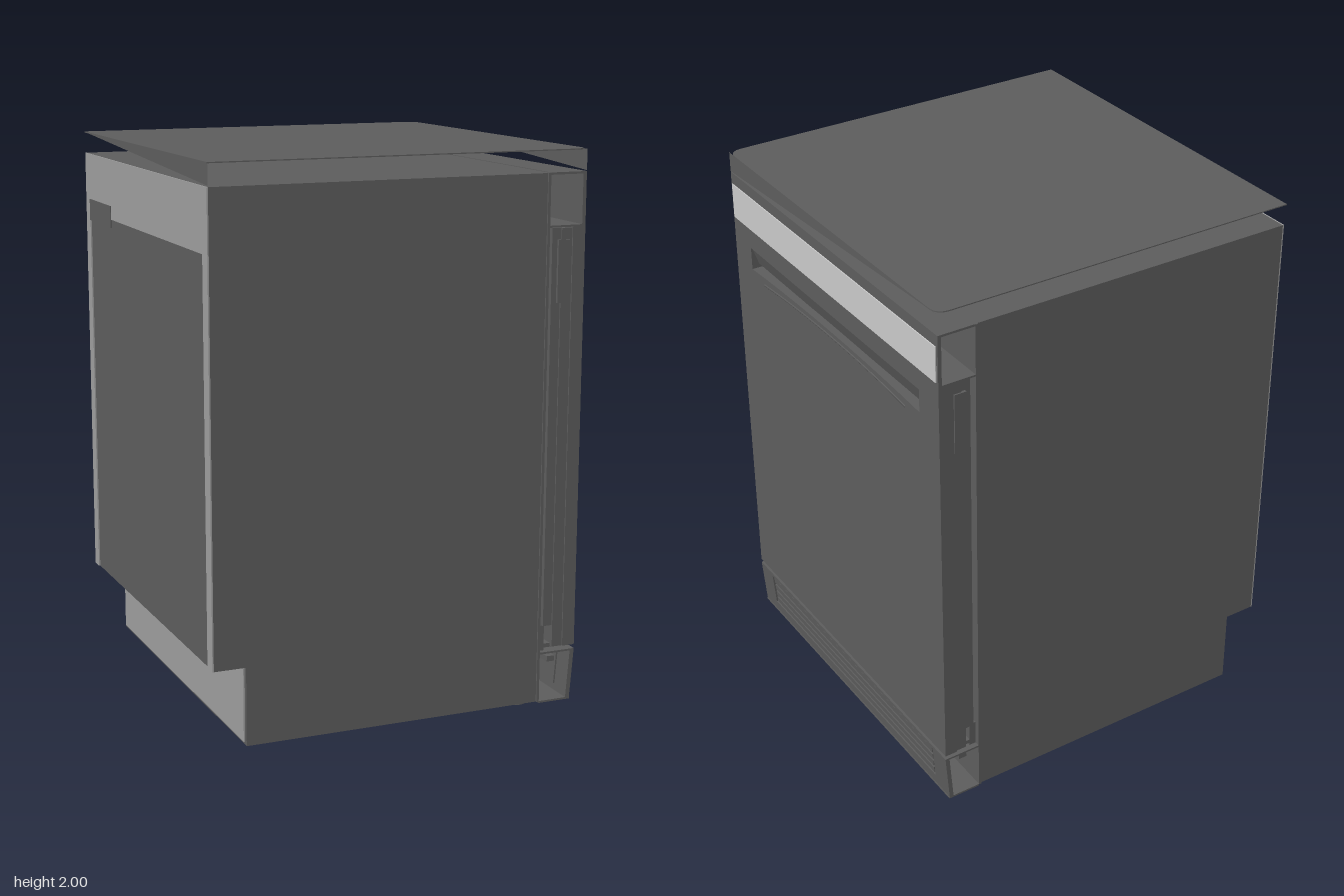
import * as THREE from 'three';

const mat = (name, color, side = THREE.FrontSide) => {
  const m = new THREE.MeshStandardMaterial({ color, side });
  m.name = name;
  return m;
};

export function createModel() {
  const group = new THREE.Group();
  group.name = 'dishwasher';
  const steel = mat('dark steel', 0x5c5c5c);
  const sheet = mat('dark steel sheet', 0x5c5c5c, THREE.DoubleSide);
  const panel = mat('light panel', 0xc8c8c8);
  const frame = mat('back frame grey', 0x9c9c9c);

  const add = (name, geometry, material = steel) => {
    const mesh = new THREE.Mesh(geometry, material);
    mesh.name = name;
    group.add(mesh);
    return mesh;
  };
  // Box given by its limits on each axis
  const box = (name, x0, x1, y0, y1, z0, z1, material) => {
    const m = add(name, new THREE.BoxGeometry(x1 - x0, y1 - y0, z1 - z0), material);
    m.position.set((x0 + x1) / 2, (y0 + y1) / 2, (z0 + z1) / 2);
    return m;
  };
  const poly = (pts) => new THREE.Shape(pts.map((p) => new THREE.Vector2(...p)));
  const rect = (w, y0, y1) => poly([[-w, y0], [w, y0], [w, y1], [-w, y1]]);
  // Extrude a (z, y) outline along +x, starting at x0
  const extrudeX = (shape, x0, depth) =>
    new THREE.ExtrudeGeometry(shape, { depth, bevelEnabled: false, curveSegments: 10 })
      .rotateY(Math.PI / 2).translate(x0, 0, 0);

  // Cabinet with toe recess at the back
  const cabinet = new THREE.ExtrudeGeometry(
    poly([[-0.57, 0.02], [0.54, 0.02], [0.54, 1.92], [-0.685, 1.92], [-0.685, 0.3], [-0.57, 0.3]]),
    { depth: 1.39, bevelEnabled: false }).translate(0, 0, -0.695);
  add('cabinet', cabinet);
  box('frontFlange', 0.54, 0.55, 0.02, 1.92, -0.7, 0.7);
  box('basePlate', -0.53, 0.52, 0.008, 0.02, -0.64, 0.64);

  // Back: pale frame around the dark rear cover
  box('backTopRail', -0.69, -0.685, 1.7, 1.92, -0.695, 0.695, frame);
  for (const s of [-1, 1]) {
    const z = s * 0.67;
    box('backSideRail', -0.69, -0.685, 0.3, 1.7, z - 0.025, z + 0.025, frame);
  }
  box('toeRecessPanel', -0.575, -0.57, 0.03, 0.3, -0.68, 0.68, frame);
  box('rearClip', -0.693, -0.688, 1.67, 1.75, -0.64, -0.37);

  // Worktop sheet, rounded at the two front corners
  const top = new THREE.Shape();
  top.moveTo(-0.69, -0.7);
  top.lineTo(0.64, -0.7);
  top.quadraticCurveTo(0.69, -0.7, 0.69, -0.65);
  top.lineTo(0.69, 0.65);
  top.quadraticCurveTo(0.69, 0.7, 0.64, 0.7);
  top.lineTo(-0.69, 0.7);
  add('worktop', new THREE.ExtrudeGeometry(top, { depth: 0.004, bevelEnabled: false, curveSegments: 8 })
    .rotateX(-Math.PI / 2).translate(0, 1.996, 0));
  // Tapering edge strips below the worktop
  for (const x of [-0.688, 0.688]) {
    const edge = new THREE.ShapeGeometry(poly([[-0.7, 1.925], [0.7, 1.998], [-0.7, 1.998]]));
    add('worktopEdge', edge.rotateY(Math.PI / 2).translate(x, 0, 0), sheet);
  }

  // Control fascia: open-ended shell with a pale inset
  box('fascia', 0.675, 0.688, 1.735, 1.92, -0.7, 0.7);
  box('fasciaTop', 0.55, 0.688, 1.914, 1.922, -0.7, 0.7);
  box('fasciaBottom', 0.55, 0.688, 1.733, 1.74, -0.7, 0.7);
  box('controlPanel', 0.688, 0.692, 1.75, 1.88, -0.69, 0.69, panel);

  // Door: inner slab, and a front skin with the handle pocket cut out
  box('doorInner', 0.565, 0.6, 0.3, 1.73, -0.69, 0.69);
  box('doorCore', 0.6, 0.64, 0.22, 1.73, -0.695, 0.695);
  const skin = rect(0.7, 0.22, 1.735);
  const pocket = new THREE.Path();
  pocket.moveTo(-0.58, 1.585);
  pocket.lineTo(-0.58, 1.67);
  pocket.lineTo(0.58, 1.67);
  pocket.lineTo(0.58, 1.585);
  pocket.quadraticCurveTo(0, 1.62, -0.58, 1.585);
  skin.holes.push(pocket);
  add('doorSkin', extrudeX(skin, 0.64, 0.048));

  // Sloped grip filling the upper part of the pocket
  const grip = new THREE.ExtrudeGeometry(
    poly([[0.64, 1.595], [0.66, 1.6], [0.684, 1.67], [0.64, 1.67]]),
    { depth: 1.16, bevelEnabled: false }).translate(0, 0, -0.58);
  add('handleGrip', grip);
  const lip = new THREE.QuadraticBezierCurve3(
    new THREE.Vector3(0.686, 1.56, -0.49), new THREE.Vector3(0.686, 1.605, 0), new THREE.Vector3(0.686, 1.56, 0.49));
  add('handleLip', new THREE.TubeGeometry(lip, 24, 0.005, 6));

  // Side hardware, mirrored
  for (const s of [-1, 1]) {
    const side = (name, x0, x1, y0, y1, zIn, zOut, m) =>
      box(name, x0, x1, y0, y1, Math.min(s * zIn, s * zOut), Math.max(s * zIn, s * zOut), m);
    side('doorLatch', 0.585, 0.63, 1.47, 1.69, 0.69, 0.7);
    side('hingeBracket', 0.55, 0.575, 0.2, 0.3, 0.64, 0.68);
    side('hingeArm', 0.55, 0.61, 0.215, 0.23, 0.64, 0.68);
    side('kickBracket', 0.59, 0.62, 0.16, 0.18, 0.62, 0.68);
    const foot = add('foot', new THREE.CylinderGeometry(0.035, 0.035, 0.025, 16));
    foot.position.set(0.5, 0.0125, s * 0.62);
  }

  // Kick plate: raked frame with louvres and a thin backing
  const rake = (geometry) => {
    const p = geometry.attributes.position;
    for (let i = 0; i < p.count; i++) p.setX(i, p.getX(i) - (0.2 - p.getY(i)) * 0.08);
    geometry.computeVertexNormals();
    return geometry;
  };
  const kick = rect(0.7, 0.02, 0.205);
  kick.holes.push(rect(0.61, 0.06, 0.19));
  add('kickPlate', rake(extrudeX(kick, 0.672, 0.016)));
  add('kickBacking', rake(extrudeX(rect(0.62, 0.05, 0.2), 0.664, 0.006)));
  for (let i = 0; i < 4; i++) {
    const y = 0.066 + i * 0.032;
    add('louvre', rake(extrudeX(rect(0.6, y, y + 0.023), 0.668, 0.018)));
  }
  box('kickFloor', 0.55, 0.675, 0.015, 0.022, -0.7, 0.7);
  box('kickTop', 0.55, 0.688, 0.198, 0.205, -0.7, 0.7);
  box('footRail', -0.53, -0.2, 0, 0.01, -0.6, 0.6);

  return group;
}
